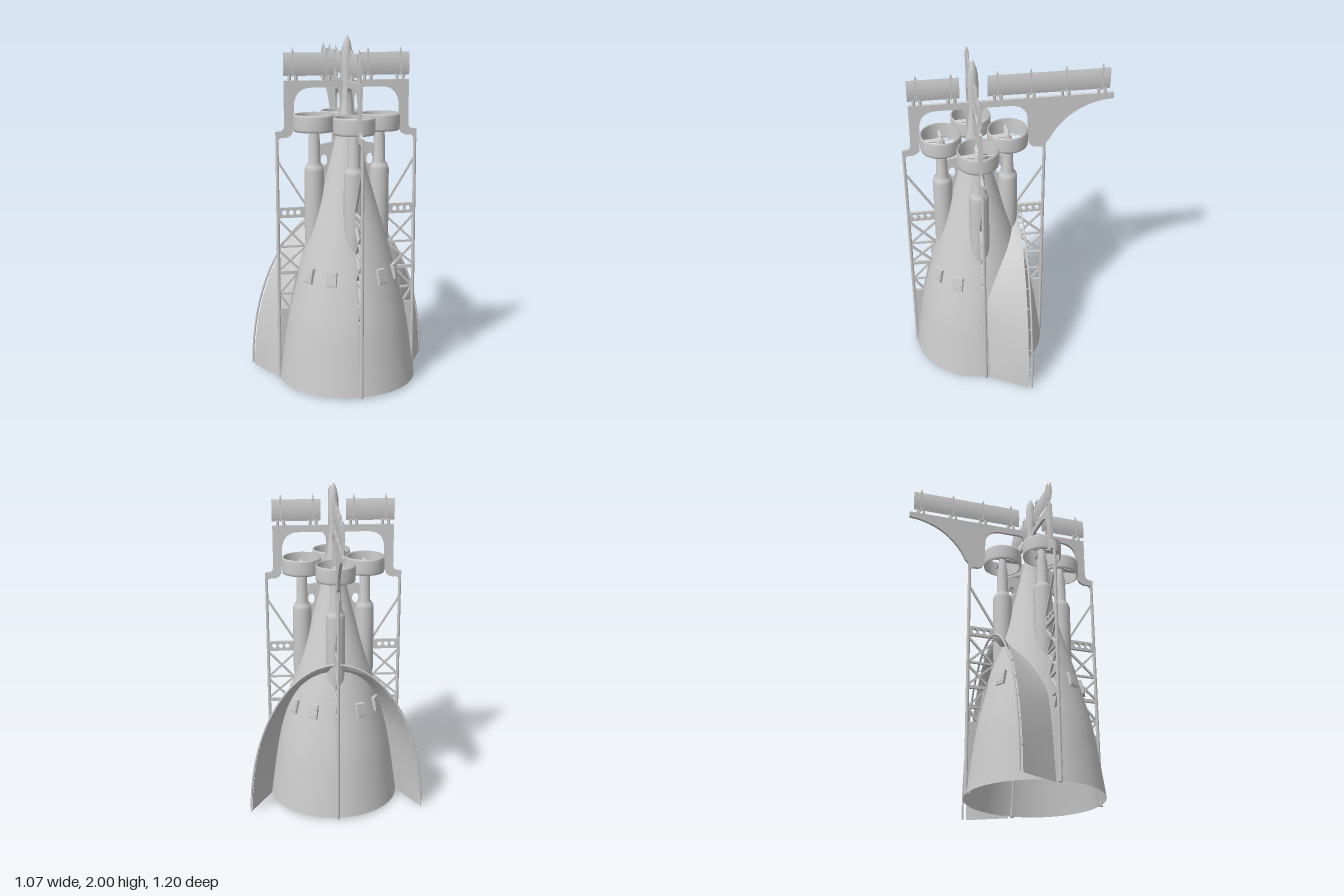
import * as THREE from 'three';

const mat = new THREE.MeshStandardMaterial({ color: 0xcccccc, side: THREE.DoubleSide });
const AXIS_Z = 0.19; // tower axis

// Tower profile: [radius, height]
const PROFILE = [[0.402, 0.012], [0.362, 0.3], [0.335, 0.45], [0.284, 0.65], [0.245, 0.8], [0.2, 0.95],
  [0.125, 1.2], [0.075, 1.4], [0.05, 1.5], [0.036, 1.6], [0.027, 1.7], [0.027, 1.76], [0.031, 1.83],
  [0.029, 1.91], [0.02, 1.96], [0.008, 1.99], [0, 2]];

function radiusAt(y) {
  for (let i = 1; i < PROFILE.length; i++) {
    const [r0, y0] = PROFILE[i - 1], [r1, y1] = PROFILE[i];
    if (y <= y1) return r0 + (r1 - r0) * Math.max(0, (y - y0) / (y1 - y0));
  }
  return 0;
}

function add(parent, name, geo, x = 0, y = 0, z = 0) {
  const m = new THREE.Mesh(geo, mat);
  m.name = name;
  m.position.set(x, y, z);
  parent.add(m);
  return m;
}

// Flat plate in the (distance, height) plane, centred on its thickness
function plate(shape, t) {
  return new THREE.ExtrudeGeometry(shape, { depth: t, bevelEnabled: false, curveSegments: 12 }).translate(0, 0, -t / 2);
}

function polygon(pts) {
  return new THREE.Shape(pts.map(p => new THREE.Vector2(...p)));
}

function circleHole(x, y, rx, ry = rx) {
  return new THREE.Path().absellipse(x, y, rx, ry, 0, Math.PI * 2, true);
}

// Straight truss member between two points
function strut(parent, a, b, w = 0.012) {
  const dx = b[0] - a[0], dy = b[1] - a[1];
  const m = add(parent, 'trussStrut', new THREE.BoxGeometry(Math.hypot(dx, dy), w, 0.012),
    (a[0] + b[0]) / 2, (a[1] + b[1]) / 2);
  m.rotation.z = Math.atan2(dy, dx);
}

// Upper bracket: top beam, arched opening and drop leg
function bracketShape(isLong) {
  const s = new THREE.Shape();
  s.moveTo(0, 1.75);
  if (isLong) {
    s.lineTo(0.79, 1.75);
    s.lineTo(0.79, 1.715);
    s.bezierCurveTo(0.62, 1.71, 0.49, 1.61, 0.43, 1.475);
    s.lineTo(0.41, 1.455);
  } else {
    s.lineTo(0.36, 1.75);
    s.lineTo(0.36, 1.5);
    s.quadraticCurveTo(0.362, 1.468, 0.39, 1.468);
    s.lineTo(0.41, 1.465);
  }
  s.lineTo(0.41, 1.4);
  s.lineTo(0.398, 1.4);
  s.quadraticCurveTo(0.395, 1.435, 0.365, 1.43);
  s.quadraticCurveTo(0.32, 1.43, 0.31, 1.47);
  s.lineTo(0.305, 1.6);
  s.quadraticCurveTo(0.305, 1.71, 0.2, 1.71);
  s.lineTo(0.08, 1.71);
  s.quadraticCurveTo(0.045, 1.71, 0.042, 1.64);
  s.lineTo(0.042, 1.5);
  s.lineTo(0, 1.5);
  return s;
}

// Lens-section panel on feet, with spiked ribs
function addPanel(arm, d0, d1, ribs) {
  const lens = new THREE.Shape();
  lens.moveTo(0, -0.064);
  lens.quadraticCurveTo(0.017, 0, 0, 0.064);
  lens.quadraticCurveTo(-0.017, 0, 0, -0.064);
  const g = new THREE.ExtrudeGeometry(lens, { depth: d1 - d0, bevelEnabled: false, curveSegments: 8 });
  add(arm, 'arrayPanel', g.rotateY(Math.PI / 2), d0, 1.84, 0);
  for (const d of ribs) {
    add(arm, 'panelRib', new THREE.BoxGeometry(0.007, 0.134, 0.022), d, 1.84);
    add(arm, 'panelSpike', new THREE.ConeGeometry(0.009, 0.03, 6), d, 1.918);
    for (const s of [-1, 1])
      add(arm, 'panelFoot', new THREE.CylinderGeometry(0.009, 0.009, 0.036, 8), d + s * 0.018, 1.764);
  }
}

function addTruss(arm) {
  add(arm, 'outerPole', new THREE.CylinderGeometry(0.009, 0.011, 1.46, 10), 0.402, 0.735);
  // Solid lower fin with a windowed top
  const fin = polygon([[0.38, 0.012], [0.408, 0.012], [0.408, 0.655], [0.27, 0.655], [0.32, 0.43]]);
  const hole = new THREE.Path();
  hole.moveTo(0.355, 0.43);
  hole.lineTo(0.385, 0.43);
  hole.quadraticCurveTo(0.396, 0.43, 0.396, 0.445);
  hole.lineTo(0.396, 0.62);
  hole.quadraticCurveTo(0.396, 0.635, 0.385, 0.635);
  hole.lineTo(0.315, 0.635);
  hole.quadraticCurveTo(0.3, 0.635, 0.303, 0.62);
  hole.lineTo(0.34, 0.445);
  hole.quadraticCurveTo(0.344, 0.43, 0.355, 0.43);
  fin.holes.push(hole);
  add(arm, 'lowerFin', plate(fin, 0.014));
  // Perforated tie beam
  const beam = polygon([[0.2, 0.97], [0.405, 0.97], [0.405, 1.03], [0.2, 1.03]]);
  for (const x of [0.285, 0.325, 0.365]) beam.holes.push(circleHole(x, 1, 0.015));
  add(arm, 'tieBeam', plate(beam, 0.016));
  [[[0.4, 1.3], [0.24, 1.04]], [[0.4, 0.96], [0.25, 0.8]], [[0.23, 0.96], [0.4, 0.8]],
    [[0.24, 0.8], [0.405, 0.8]], [[0.25, 0.79], [0.4, 0.66]], [[0.4, 0.78], [0.28, 0.66]],
    [[0.32, 0.52], [0.4, 0.52]], [[0.4, 0.52], [0.3, 0.63]], [[0.4, 0.52], [0.345, 0.44]]]
    .forEach(([a, b]) => strut(arm, a, b));
}

// Engine pod with ducted fan, standing off the tower
function addPod(arm) {
  const pod = new THREE.Group();
  pod.name = 'fanPod';
  pod.position.x = 0.19;
  arm.add(pod);
  const body = [[0.04, 0.72], [0.057, 0.85], [0.057, 1.24], [0.05, 1.265], [0.034, 1.285], [0.032, 1.43],
    [0.026, 1.465], [0.022, 1.51], [0.012, 1.535], [0, 1.54]].map(p => new THREE.Vector2(...p));
  add(pod, 'podBody', new THREE.LatheGeometry(body, 24));
  const duct = [[0.107, 1.465], [0.114, 1.465], [0.117, 1.48], [0.117, 1.55], [0.113, 1.562], [0.107, 1.555], [0.107, 1.465]];
  add(pod, 'fanDuct', new THREE.LatheGeometry(duct.map(p => new THREE.Vector2(...p)), 40));
  for (let i = 0; i < 4; i++) {
    const blade = add(pod, 'fanBlade', plate(polygon([[0.01, -0.013], [0.11, -0.008], [0.11, 0.008], [0.01, 0.013]]), 0.006), 0, 1.515);
    blade.rotation.set(Math.PI / 3, i * Math.PI / 2, 0, 'YXZ');
  }
  const web = polygon([[0.05, 1.05], [0.19, 1.05], [0.19, 1.36], [0.15, 1.39], [0.05, 1.41]]);
  web.holes.push(circleHole(0.133, 1.3, 0.02, 0.032));
  add(arm, 'podWeb', plate(web, 0.02));
}

// Flared arch shell ruled from its outer rim to the tower wall
function shieldGeometry() {
  const pos = [], idx = [], N = 48, M = 4;
  for (let i = 0; i <= N; i++) {
    const a = Math.PI * i / N, side = Math.sign(Math.cos(a));
    const y = 0.96 * Math.sin(a), ox = 0.522 * Math.cos(a);
    const u = Math.max(0, (y - 0.52) / 0.44);
    const iz = 0.165 - 0.225 * Math.pow(u, 1.4);
    const ix = side * Math.sqrt(Math.max(0, radiusAt(y) ** 2 - (iz - AXIS_Z) ** 2));
    for (let j = 0; j <= M; j++) {
      const t = j / M;
      pos.push(ox + (ix - ox) * t, y, -0.06 + (iz + 0.06) * t);
      if (i < N && j < M) {
        const k = i * (M + 1) + j;
        idx.push(k, k + 1, k + M + 1, k + 1, k + M + 2, k + M + 1);
      }
    }
  }
  const g = new THREE.BufferGeometry();
  g.setAttribute('position', new THREE.Float32BufferAttribute(pos, 3));
  g.setIndex(idx);
  g.computeVertexNormals();
  return g;
}

export function createModel() {
  const model = new THREE.Group();
  const tower = new THREE.Group();
  tower.name = 'tower';
  tower.position.z = AXIS_Z;
  model.add(tower);
  add(tower, 'towerShell', new THREE.LatheGeometry(PROFILE.map(p => new THREE.Vector2(...p)), 64));

  // Four arms; the rear one is long
  for (let i = 0; i < 4; i++) {
    const isLong = i === 1;
    const arm = new THREE.Group();
    arm.name = isLong ? 'rearArm' : 'arm';
    arm.rotation.y = i * Math.PI / 2;
    tower.add(arm);
    add(arm, 'bracket', plate(bracketShape(isLong), 0.016));
    if (isLong) addPanel(arm, 0.08, 0.765, [0.135, 0.32, 0.515, 0.72]);
    else addPanel(arm, 0.075, 0.362, [0.12, 0.31]);
    addTruss(arm);
    addPod(arm);
    // Pair of hooded windows in each quadrant
    for (const deg of [31, 61]) {
      const holder = new THREE.Group();
      holder.name = 'hoodedWindow';
      holder.rotation.y = i * Math.PI / 2 + THREE.MathUtils.degToRad(deg);
      tower.add(holder);
      const hood = add(holder, 'windowHood', plate(polygon([[-0.03, 0], [0.022, 0], [0.022, 0.012], [0.008, 0.085], [-0.03, 0.085]]), 0.058), radiusAt(0.66), 0.618);
      add(hood, 'windowPane', new THREE.BoxGeometry(0.006, 0.05, 0.04), 0.015, 0.042).rotation.z = 0.19;
    }
  }

  // Rear shield with its separate rim
  add(model, 'shield', shieldGeometry());
  const rim = [];
  for (let i = 0; i <= 40; i++) {
    const a = Math.PI * i / 40;
    rim.push(new THREE.Vector3(0.53 * Math.cos(a), 0.006 + 0.96 * Math.sin(a), -0.08));
  }
  add(model, 'shieldRim', new THREE.TubeGeometry(new THREE.CatmullRomCurve3(rim), 80, 0.006, 8));
  for (let i = 1; i < 20; i++) {
    const a = Math.PI * i / 20;
    add(model, 'rimClip', new THREE.BoxGeometry(0.006, 0.006, 0.024), 0.525 * Math.cos(a), 0.96 * Math.sin(a), -0.069);
  }
  return model;
}
